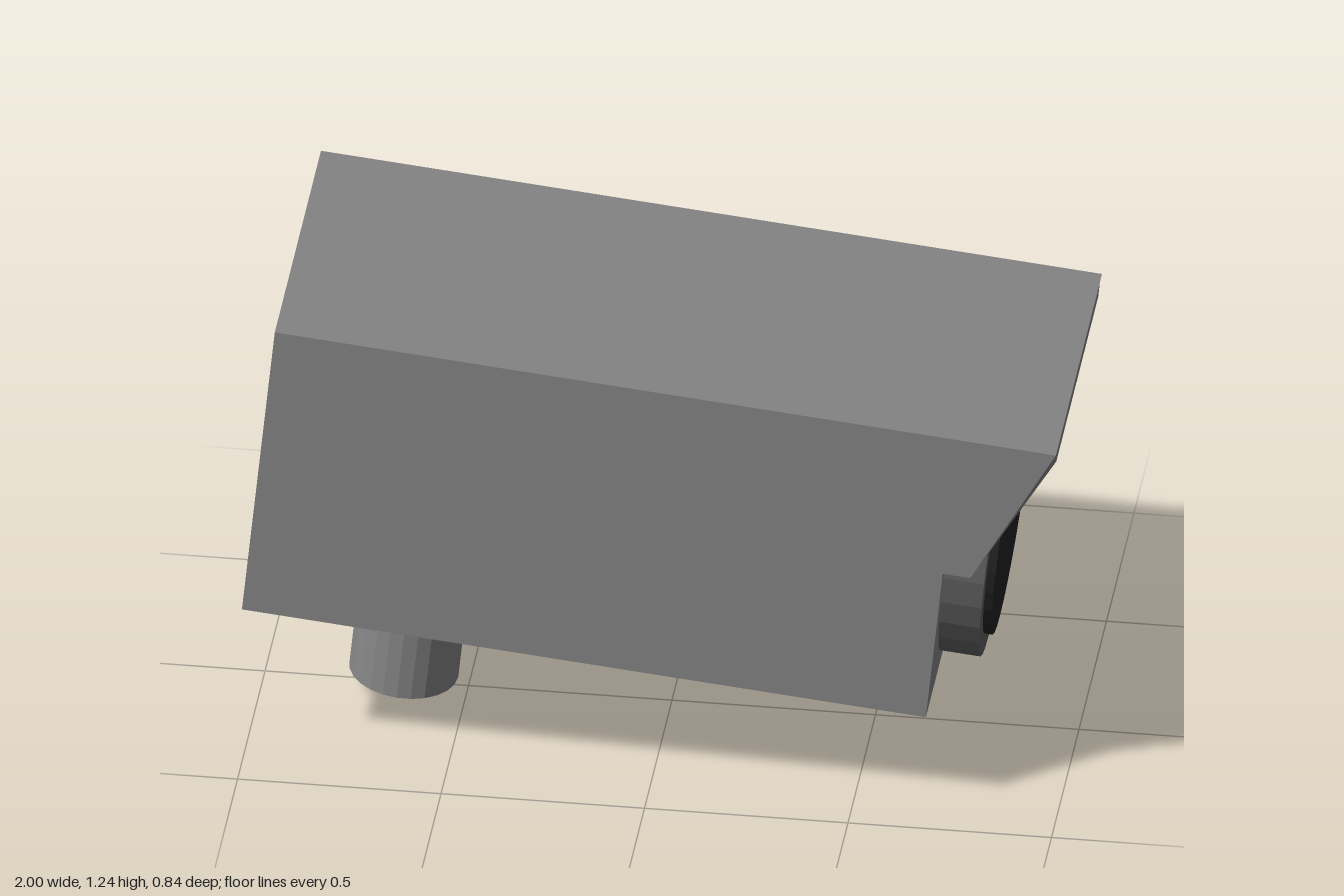
import * as THREE from 'three';

const mat = (name, color) => {
  const m = new THREE.MeshStandardMaterial({ color, side: THREE.DoubleSide, flatShading: true });
  m.name = name;
  return m;
};

// Flat convex faces, each a list of [x, y, z] corners, fanned from the first corner
function faces(list) {
  const pos = [];
  for (const f of list)
    for (let i = 1; i < f.length - 1; i++) pos.push(...f[0], ...f[i], ...f[i + 1]);
  const g = new THREE.BufferGeometry();
  g.setAttribute('position', new THREE.Float32BufferAttribute(pos, 3));
  g.computeVertexNormals();
  return g;
}

const mirrorZ = (f) => f.map(([x, y, z]) => [x, y, -z]).reverse();

export function createModel() {
  const casingGrey = mat('casingGrey', 0x868686);
  const ringGrey = mat('ringGrey', 0x626262);
  const lensBlack = mat('lensBlack', 0x232323);

  // Everything tips forward together; the local origin is the casing's lower back edge
  const camera = new THREE.Group();
  camera.name = 'securityCamera';
  const add = (name, geometry, material) => {
    const mesh = new THREE.Mesh(geometry, material);
    mesh.name = name;
    camera.add(mesh);
    return mesh;
  };

  const W = 0.42, WI = 0.38;        // outer and inner half widths
  const F = 1.689, N = 1.757, T = 1.929; // front panel, notch and hood tip
  const H = 0.807, HI = 0.765, V = 0.418; // top, hood ceiling and notch height

  // Casing box
  const side = [[F, V, W], [N, V, W], [T, H, W], [0, H, W], [0, 0, W], [F, 0, W]];
  add('casing', faces([
    side, mirrorZ(side),
    [[0, H, W], [T, H, W], [T, H, -W], [0, H, -W]],
    [[0, 0, -W], [F, 0, -W], [F, 0, W], [0, 0, W]],
    [[0, 0, -W], [0, 0, W], [0, H, W], [0, H, -W]],
  ]), casingGrey);

  // Recessed panel behind the lens
  add('frontPanel', faces([
    [[F, 0, W], [F, 0, -W], [F, V, -W], [F, HI, -WI], [F, HI, WI], [F, V, W]],
  ]), casingGrey);

  // Hood: lip, ceiling, tapered cheeks and their bevelled edges
  const cheek = [[F, V, W], [F, HI, WI], [T, HI, WI], [N, V, W]];
  const bevel = [[T, H, W], [N, V, W], [T, HI, WI], [T, H, WI]];
  add('hood', faces([
    cheek, mirrorZ(cheek), bevel, mirrorZ(bevel),
    [[T, HI, WI], [T, HI, -WI], [T, H, -WI], [T, H, WI]],
    [[F, HI, -WI], [T, HI, -WI], [T, HI, WI], [F, HI, WI]],
  ]), casingGrey);

  // Lens ring and glass, both facing the open end
  const disc = (name, r, x0, x1, material) => {
    const g = new THREE.CylinderGeometry(r, r, x1 - x0, 32).rotateZ(-Math.PI / 2);
    add(name, g, material).position.set((x0 + x1) / 2, 0.38, 0);
  };
  disc('lensRing', 0.38, F, 1.789, ringGrey);
  disc('lens', 0.323, 1.75, 1.81, lensBlack);

  // Mounting post below the back end
  const post = (name, r, y0, y1) => {
    add(name, new THREE.CylinderGeometry(r, r, y1 - y0, 24), casingGrey)
      .position.set(0.38, (y0 + y1) / 2, 0);
  };
  post('mountPin', 0.08, -0.394, 0.01);
  post('mountCollar', 0.134, -0.367, -0.1);

  camera.rotation.z = -0.1002;
  camera.position.set(-1, 0.44, 0);

  const model = new THREE.Group();
  model.name = 'model';
  model.add(camera);
  return model;
}
